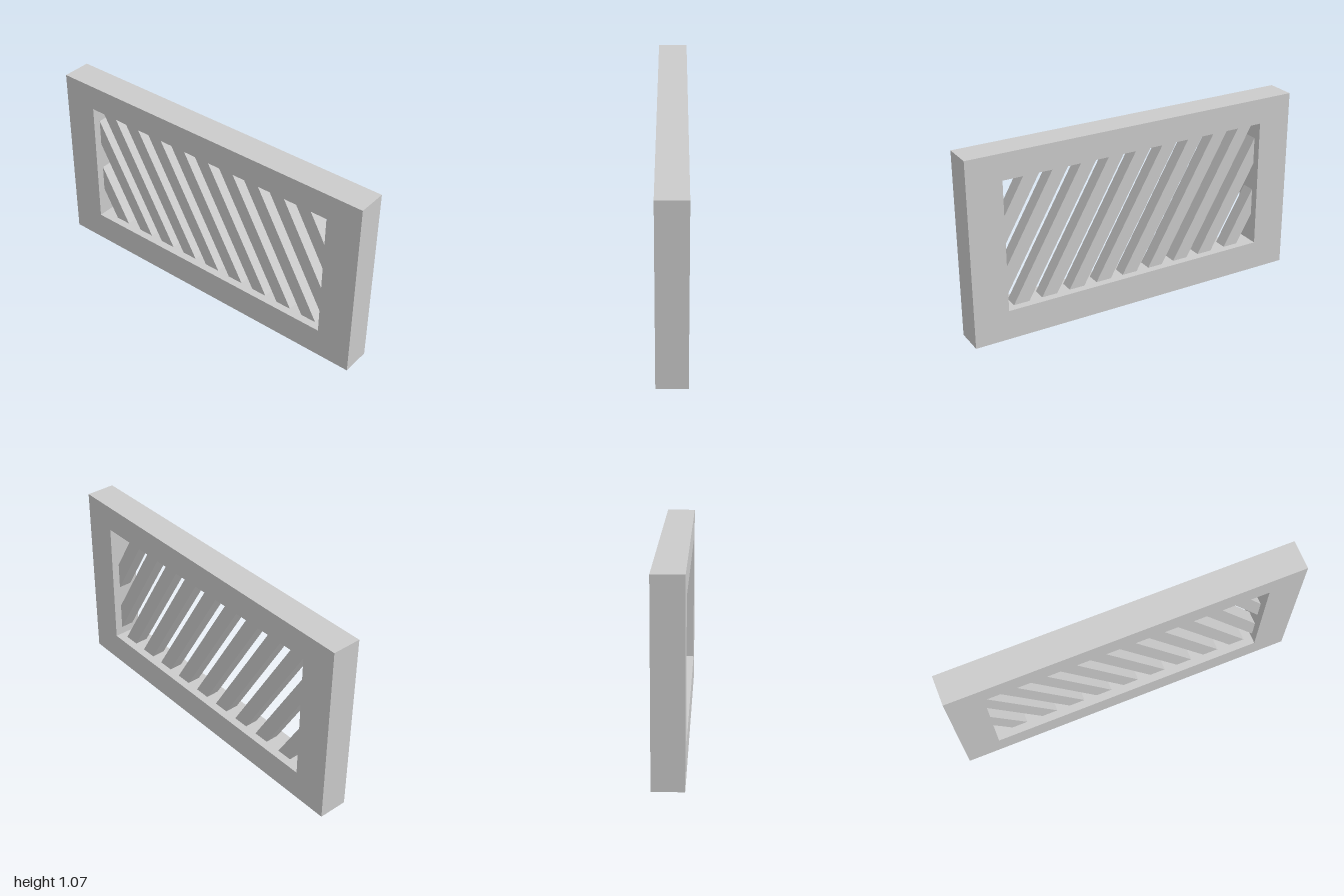
import * as THREE from 'three';

const HALF_W = 1, HEIGHT = 1.067, DEPTH = 0.167;           // outer frame
const IN_X = 0.8, IN_BOTTOM = 0.17, IN_TOP = 0.92;         // opening
const SLAT_W = 0.091, SLAT_D = 0.078, PITCH = 0.168;       // slat section and spacing
const SLOPE = Math.tan(Math.PI / 3);                       // slats lean at 60 degrees

const material = new THREE.MeshStandardMaterial({ color: 0xcccccc, flatShading: true });

function rectangle(path, x, y0, y1) {
  path.moveTo(-x, y0);
  path.lineTo(x, y0);
  path.lineTo(x, y1);
  path.lineTo(-x, y1);
  path.closePath();
  return path;
}

// Extrude a flat shape, centred on z = 0
function panel(name, shape, depth) {
  const geometry = new THREE.ExtrudeGeometry(shape, { depth, bevelEnabled: false });
  geometry.translate(0, 0, -depth / 2);
  const mesh = new THREE.Mesh(geometry, material);
  mesh.name = name;
  return mesh;
}

// Ends of a leaning line that meets the top of the opening at topX, cut at the side walls
function slatEdge(topX) {
  const bottomX = topX + (IN_TOP - IN_BOTTOM) / SLOPE;
  return [topX, bottomX].map((x) => {
    const cut = THREE.MathUtils.clamp(x, -IN_X, IN_X);
    return new THREE.Vector2(cut, IN_TOP - (cut - topX) * SLOPE);
  });
}

export function createModel() {
  const model = new THREE.Group();
  model.name = 'ventGrille';

  // Surrounding frame with a rectangular opening
  const frame = rectangle(new THREE.Shape(), HALF_W, 0, HEIGHT);
  frame.holes.push(rectangle(new THREE.Path(), IN_X, IN_BOTTOM, IN_TOP));
  model.add(panel('frame', frame, DEPTH));

  // Diagonal slats, trimmed to the opening
  const slats = new THREE.Group();
  slats.name = 'slats';
  for (let i = -2; i <= 8; i++) {
    // the corner slat sits slightly further out
    const topX = -0.782 + i * PITCH - (i === -2 ? 0.017 : 0);
    const [leftTop, leftBottom] = slatEdge(topX);
    const [rightTop, rightBottom] = slatEdge(topX + SLAT_W);
    const outline = new THREE.Shape([leftBottom, rightBottom, rightTop, leftTop]);
    slats.add(panel('slat', outline, SLAT_D));
  }
  model.add(slats);

  return model;
}
